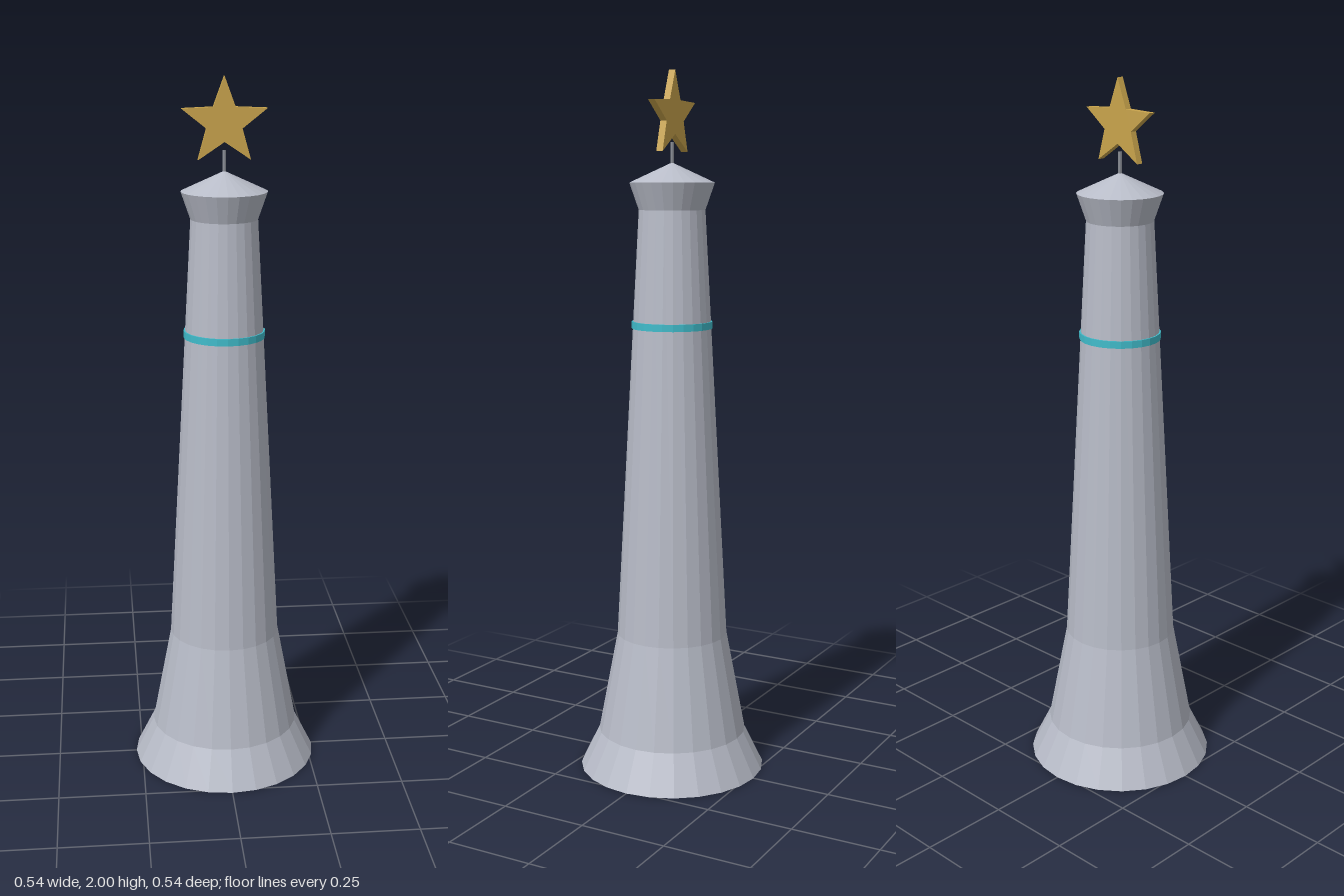
import * as THREE from 'three';

const SIDES = 24;

// Split shared vertices so every facet gets its own normal
function faceted(geometry) {
  const flat = geometry.index ? geometry.toNonIndexed() : geometry;
  flat.computeVertexNormals();
  return flat;
}

function addPart(group, name, geometry, material, y = 0) {
  const mesh = new THREE.Mesh(faceted(geometry), material);
  mesh.name = name;
  mesh.position.y = y;
  group.add(mesh);
}

function starShape(outer, inner) {
  const points = [];
  for (let i = 0; i < 10; i++) {
    const r = i % 2 ? inner : outer;
    const a = Math.PI / 2 + (i * Math.PI) / 5;
    points.push(new THREE.Vector2(r * Math.cos(a), r * Math.sin(a)));
  }
  return new THREE.Shape(points);
}

export function createModel() {
  const group = new THREE.Group();
  group.name = 'starTower';

  const stone = new THREE.MeshStandardMaterial({ color: 0xb8bcc8 });
  stone.name = 'paleGreyStone';
  const teal = new THREE.MeshStandardMaterial({ color: 0x40bccb });
  teal.name = 'tealBand';
  const gold = new THREE.MeshStandardMaterial({ color: 0xc9a44c });
  gold.name = 'gold';
  const metal = new THREE.MeshStandardMaterial({ color: 0x8a8e96 });
  metal.name = 'greyMetal';

  // Tapered shaft with flared foot and closed underside
  const shaft = [[0, 0], [0.268, 0], [0.214, 0.11], [0.159, 0.4], [0.093, 1.62], [0.119, 1.695]]
    .map(([r, y]) => new THREE.Vector2(r, y));
  addPart(group, 'towerShaft', new THREE.LatheGeometry(shaft, SIDES), stone);

  // Shallow conical roof
  addPart(group, 'roof', new THREE.ConeGeometry(0.119, 0.055, SIDES), stone, 1.7225);

  // Thin band around the upper shaft
  addPart(group, 'band', new THREE.CylinderGeometry(0.114, 0.114, 0.02, SIDES), teal, 1.3);

  // Short mast on the roof
  addPart(group, 'mast', new THREE.CylinderGeometry(0.005, 0.005, 0.065, 8), metal, 1.7725);

  // Five-pointed star
  const star = new THREE.ExtrudeGeometry(starShape(0.122, 0.051), { depth: 0.02, bevelEnabled: false });
  star.translate(0, 0, -0.01);
  addPart(group, 'star', star, gold, 1.878);

  return group;
}
